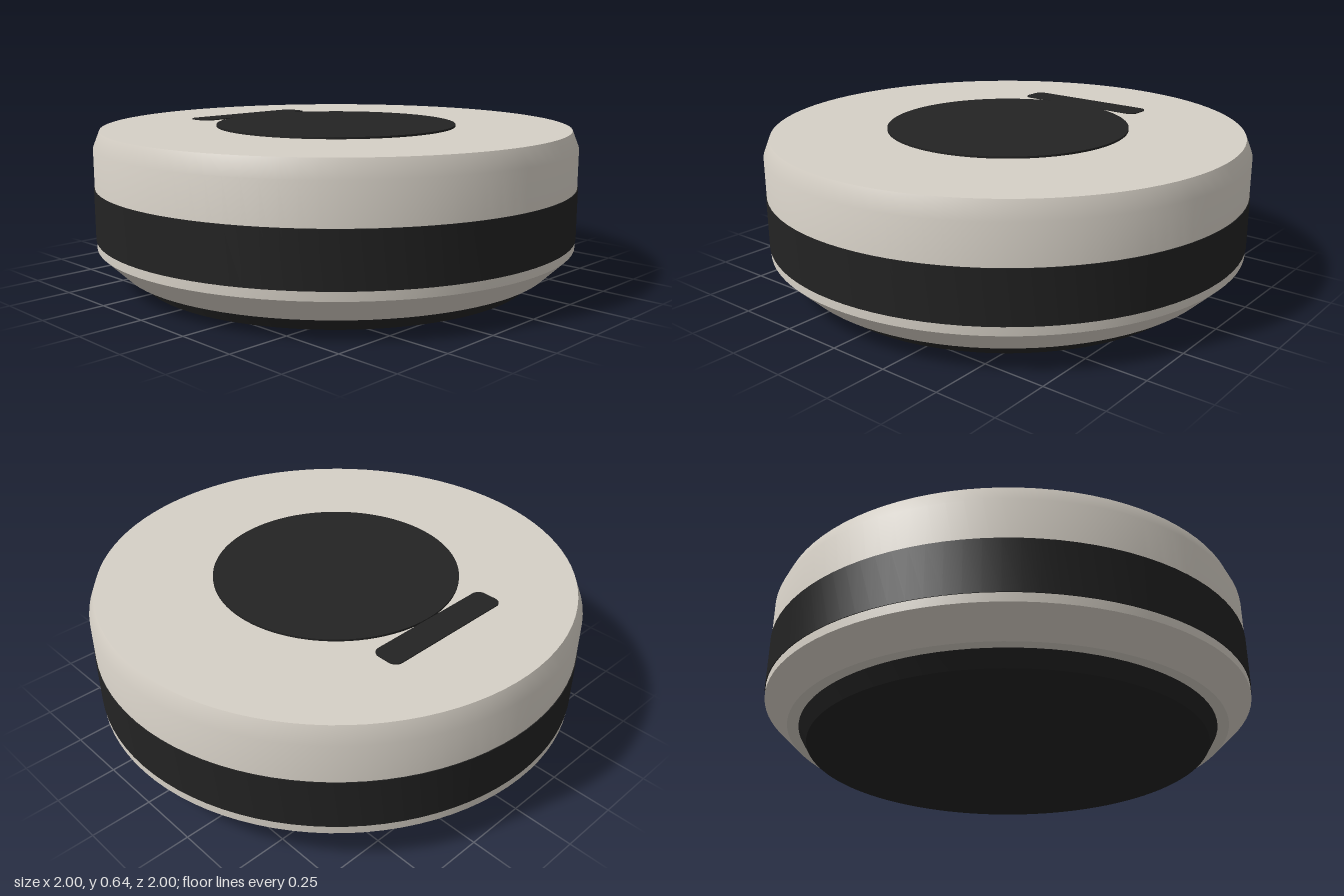
import * as THREE from 'three';
import { toCreasedNormals } from 'three/addons/utils/BufferGeometryUtils.js';

export function createModel() {
  const model = new THREE.Group();
  const shell = new THREE.MeshStandardMaterial({ name: 'warm grey shell', color: 0xd6d0c6 });
  const dark = new THREE.MeshStandardMaterial({ name: 'dark rubber', color: 0x232323 });

  const add = (name, geometry, material) => {
    const mesh = new THREE.Mesh(geometry, material);
    mesh.name = name;
    model.add(mesh);
    return mesh;
  };

  // Round part from a bottom-to-top [radius, height] profile, sharp above 35 degrees
  const turned = (name, profile, material) => {
    const points = profile.map(([r, y]) => new THREE.Vector2(r, y));
    add(name, toCreasedNormals(new THREE.LatheGeometry(points, 96), 0.61), material);
  };

  // Tapered foot, chamfered shell, and side band
  turned('base', [[0, 0], [0.82, 0], [0.855, 0.06], [0, 0.06]], dark);
  turned('body', [[0, 0.06], [0.9, 0.06], [0.997, 0.155], [0.997, 0.56], [0.97, 0.628], [0, 0.628]], shell);
  turned('sideBand', [[0.99, 0.19], [1, 0.19], [1, 0.4], [0.99, 0.4]], dark);

  // Thin round pad on the top
  turned('topPad', [[0, 0.625], [0.5, 0.625], [0.5, 0.636], [0, 0.636]], dark);

  // Rounded slot plate behind the pad
  const w = 0.3, h = 0.06, r = 0.035;
  const outline = new THREE.Shape();
  outline.absarc(w - r, h - r, r, 0, Math.PI / 2);
  outline.absarc(-w + r, h - r, r, Math.PI / 2, Math.PI);
  outline.absarc(-w + r, -h + r, r, Math.PI, Math.PI * 1.5);
  outline.absarc(w - r, -h + r, r, Math.PI * 1.5, Math.PI * 2);
  const plate = new THREE.ExtrudeGeometry(outline, { depth: 0.008, bevelEnabled: false, curveSegments: 8 });
  plate.rotateX(-Math.PI / 2);
  add('slotPlate', plate, dark).position.set(0, 0.624, -0.56);

  return model;
}
